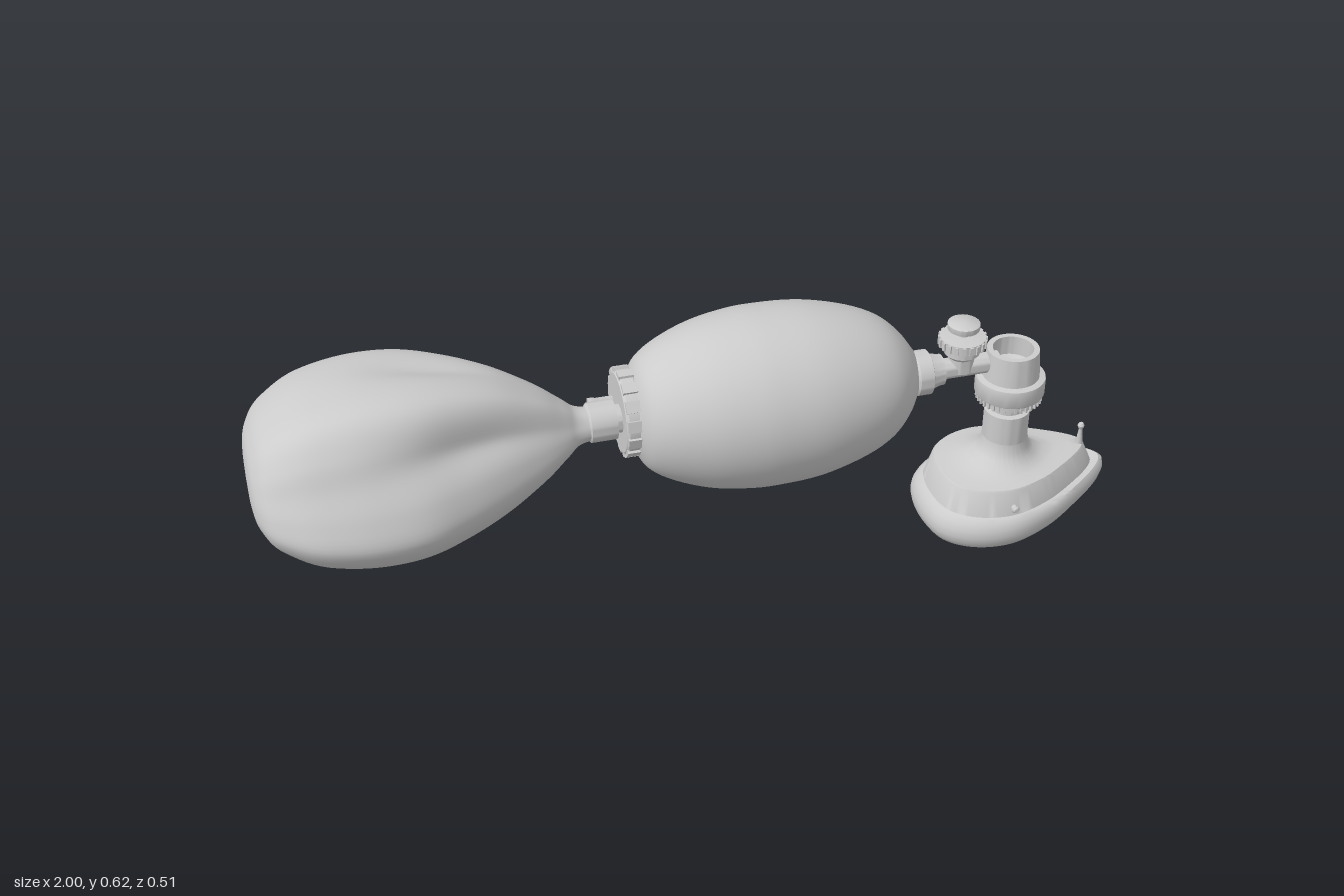
import * as THREE from 'three';
import { toCreasedNormals } from 'three/addons/utils/BufferGeometryUtils.js';

const V2 = (x, y) => new THREE.Vector2(x, y);
const V3 = (x, y, z) => new THREE.Vector3(x, y, z);
const lerp = THREE.MathUtils.lerp;
const mat = new THREE.MeshStandardMaterial({ color: 0xcccccc, side: THREE.DoubleSide });

function add(parent, name, geo, x = 0, y = 0, z = 0) {
  const m = new THREE.Mesh(geo, mat);
  m.name = name;
  m.position.set(x, y, z);
  parent.add(m);
  return m;
}

// Turned part from [radius, height] pairs; crisp corners
function turned(pairs, seg = 40) {
  return toCreasedNormals(new THREE.LatheGeometry(pairs.map(p => V2(...p)), seg), 0.6);
}
// Same, with the axis along +x
const turnedX = (pairs, seg) => turned(pairs, seg).rotateZ(-Math.PI / 2);

// Smooth skin through closed rings of points
function loft(rings) {
  const n = rings[0].length, pos = [], idx = [];
  rings.forEach(r => r.forEach(p => pos.push(p.x, p.y, p.z)));
  for (let i = 0; i < rings.length - 1; i++)
    for (let j = 0; j < n; j++) {
      const a = i * n + j, b = i * n + (j + 1) % n;
      idx.push(a, b, a + n, b, b + n, a + n);
    }
  const g = new THREE.BufferGeometry();
  g.setAttribute('position', new THREE.Float32BufferAttribute(pos, 3));
  g.setIndex(idx);
  g.computeVertexNormals();
  return g;
}

// Small grip ribs around a vertical rim
function ribs(parent, name, count, radius, height, width, depth, x, y, z) {
  const g = new THREE.Group();
  g.name = name;
  g.position.set(x, y, z);
  for (let i = 0; i < count; i++) {
    const a = (i / count) * Math.PI * 2;
    const m = add(g, 'rib', new THREE.BoxGeometry(depth, height, width), radius * Math.cos(a), 0, radius * Math.sin(a));
    m.rotation.y = -a;
  }
  parent.add(g);
  return g;
}

// Soft bag: skewed section swept along x, with folds running from the neck
function reservoirGeometry() {
  const half = [[-15, .265], [0, .238], [18, .212], [38, .214], [60, .22], [90, .2], [118, .213], [143, .247]];
  const pts = [];
  for (const turn of [0, 180])
    half.forEach(([deg, r]) => {
      const a = THREE.MathUtils.degToRad(deg + turn);
      pts.push(V3(0, r * Math.sin(a) / .2, r * Math.cos(a) / .255));
    });
  const section = new THREE.CatmullRomCurve3(pts, true).getPoints(96).slice(0, -1);
  // angle, width, x centre, x spread, depth
  const folds = [[28, 15, -.52, .17, .17], [108, 17, -.6, .14, .1]];
  const fold = (p, x) => {
    const deg = (THREE.MathUtils.radToDeg(Math.atan2(p.y * .2, p.z * .255)) + 360) % 180;
    return folds.reduce((k, [a, w, c, s, d]) => k - d * Math.exp(-(((deg - a) / w) ** 2) - ((x - c) / s) ** 2), 1);
  };
  // x, half depth, half height, how skewed the section is
  const stations = [
    [-1, .004, .002, 0], [-.998, .085, .045, .2], [-.985, .15, .088, .5], [-.94, .205, .135, .85], [-.86, .24, .175, 1],
    [-.76, .253, .194, 1], [-.65, .243, .195, 1], [-.55, .2, .18, 1], [-.46, .152, .152, 1],
    [-.38, .105, .11, 1], [-.32, .066, .068, .8], [-.285, .043, .043, .4], [-.24, .036, .036, 0]];
  const path = i => new THREE.CatmullRomCurve3(stations.map(s => V3(s[0], s[i], s[3])));
  const depth = path(1), height = path(2), rings = [];
  for (let i = 0; i <= 72; i++) {
    const d = depth.getPoint(i / 72), h = height.getPoint(i / 72);
    rings.push(section.map(p => {
      const k = lerp(1 / Math.hypot(p.y, p.z), 1, d.z) * fold(p, d.x);
      return V3(d.x, .42 + p.y * k * h.y, p.z * k * d.y);
    }));
  }
  return loft(rings);
}

// Face mask: teardrop cushion, skirt, flared dome and hollow inside
function maskGeometry(cx, cz) {
  const side = [[.545, .095], [.605, .148], [.7, .17], [.81, .142], [.9, .092], [.96, .05], [.987, .022]];
  const outline = new THREE.CatmullRomCurve3([
    V3(.526, 0, 0), ...side.map(([x, z]) => V3(x, 0, z)),
    V3(.995, 0, 0), ...side.map(([x, z]) => V3(x, 0, -z)).reverse()], true).getPoints(112).slice(0, -1);
  const floor = x => .05 * Math.pow(Math.max(0, (x - .53) / .465), 1.7);
  // scale, height, how far it follows the sloping floor, blend to circle, circle radius
  const rows = [
    [.2, .215, 0, 1, .02], [.4, .195, 0, 1, .046], [.6, .165, 0, .75, .065], [.68, .135, .1, .3, .09], [.73, .095, .4, 0, 0], [.74, .06, .9, 0, 0],
    [.73, .04, 1, 0, 0], [.745, .022, 1, 0, 0], [.79, .008, 1, 0, 0], [.86, .002, 1, 0, 0], [.93, .007, 1, 0, 0],
    [.98, .022, 1, 0, 0], [1, .04, 1, 0, 0], [.988, .058, .95, 0, 0], [.95, .075, .75, 0, 0], [.9, .085, .5, 0, 0],
    [.87, .088, .4, 0, 0], [.785, .147, .2, 0, 0], [.765, .152, .2, 0, 0], [.72, .155, .2, .2, .08],
    [.7, .16, .1, .45, .07], [.66, .17, 0, .68, .064], [.6, .184, 0, .86, .059], [.5, .2, 0, .96, .055], [.5, .222, 0, 1, .053]];
  return toCreasedNormals(loft(rows.map(([s, y, slope, mix, r]) => outline.map(p => {
    const a = Math.atan2(p.z, p.x - cx);
    const x = lerp((p.x - cx) * s, r * Math.cos(a), mix);
    const z = lerp(p.z * s, r * Math.sin(a), mix);
    return V3(cx + x, y + slope * floor(p.x), cz + z);
  }))), 0.7);
}

export function createModel() {
  const model = new THREE.Group();
  model.name = 'resuscitator';

  // Reservoir bag and its connector
  add(model, 'reservoirBag', reservoirGeometry());
  add(model, 'reservoirConnector', turnedX([[0, -.265], [.036, -.265], [.045, -.258], [.045, -.2], [.032, -.198], [.032, -.16]]), 0, .42, -.003);

  // Scalloped inlet cap with side nipple
  const cap = new THREE.Group();
  cap.name = 'inletCap';
  cap.position.set(-.168, .42, -.025);
  model.add(cap);
  add(cap, 'capDisc', turnedX([[0, -.019], [.09, -.019], [.097, -.013], [.097, .014], [.09, .019], [0, .019]]));
  ribs(cap, 'capGrips', 14, .096, .034, .026, .011, 0, 0, 0).rotation.z = Math.PI / 2;
  add(cap, 'oxygenNipple', turnedX([[0, -.075], [.013, -.075], [.013, -.062], [.011, -.058], [.011, 0]], 16), 0, 0, -.05);

  // Squeeze bag
  const bagCurve = new THREE.SplineCurve([[.085, -.158], [.125, -.135], [.158, -.085], [.188, -.005], [.203, .08],
    [.206, .15], [.2, .25], [.176, .35], [.145, .42], [.105, .465], [.065, .493], [.046, .505]].map(p => V2(...p)));
  add(model, 'squeezeBag', new THREE.LatheGeometry(bagCurve.getPoints(48), 64).rotateZ(-Math.PI / 2), 0, .417, -.012);

  // Outlet neck and arm to the patient port
  add(model, 'bagOutlet', turnedX([[.046, .49], [.052, .496], [.052, .528], [.042, .532], [.036, .555], [.036, .562], [.024, .564], [.024, .7]]), 0, .423, .008);

  // Pressure relief valve
  const valve = new THREE.Group();
  valve.name = 'reliefValve';
  valve.position.set(.61, -.003, .006);
  model.add(valve);
  add(valve, 'valveBody', turned([[.03, .42], [.03, .455], [.034, .46], [.041, .466], [.041, .484], [.052, .485],
    [.052, .507], [.028, .51], [.014, .511], [.014, .526], [.036, .527], [.037, .53], [.037, .541], [.034, .543], [0, .543]]));
  ribs(valve, 'valveGrips', 20, .052, .02, .008, .008, 0, .496, 0);

  // Hollow patient port
  const px = .733, pz = .016;
  add(model, 'patientPort', turned([[.02, .21], [.02, .37], [.03, .375], [.03, .405], [.047, .41], [.047, .457], [.06, .457], [.066, .388],
    [.08, .385], [.081, .38], [.081, .345], [.079, .341], [.072, .339], [.072, .326], [.04, .324], [.04, .295],
    [.053, .293], [.053, .215]], 48), px, 0, pz);
  ribs(model, 'portGrips', 36, .073, .017, .005, .009, px, .333, pz);

  // Mask with tip pin and side plugs
  add(model, 'faceMask', maskGeometry(px, .019));
  add(model, 'tipPin', turned([[.011, .145], [.009, .16], [.004, .202], [.007, .206], [.008, .212], [.005, .218], [0, .22]], 16), .925, 0, .026);
  for (const s of [1, -1]) {
    const plug = add(model, 'sidePlug', turned([[.017, -.03], [.017, -.004], [.008, -.002], [.008, .012], [.009, .018], [.005, .023], [0, .024]], 20),
      .708, .11, .02 + s * .133);
    plug.rotation.x = s * Math.PI / 2;
  }
  return model;
}
